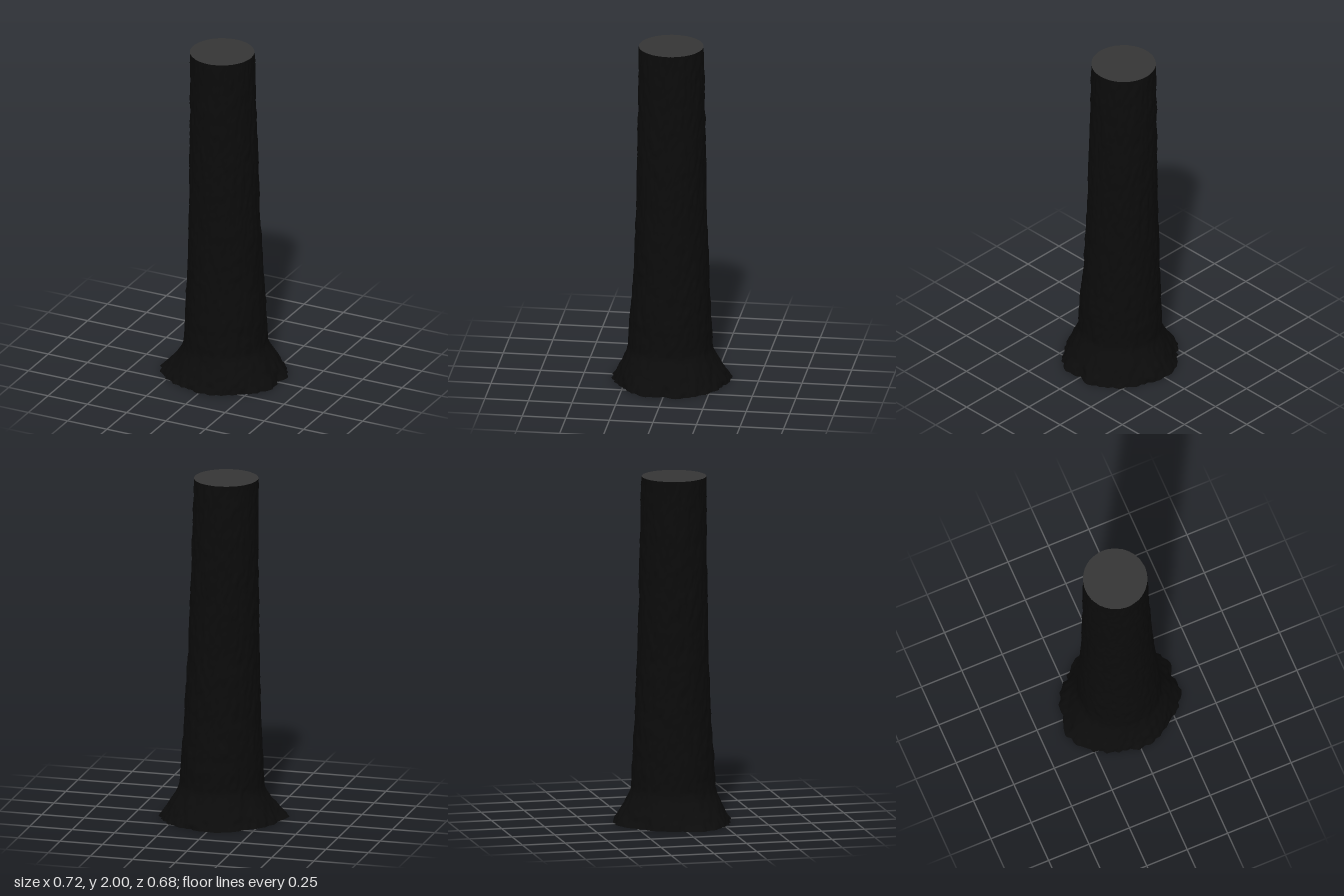
import * as THREE from 'three';

const SEG = 180, ROWS = 150;

// Trunk cross-sections: height, left/right x, back/front z
const SECTIONS = [
  [0, -0.255, 0.29, -0.275, 0.275],
  [0.12, -0.238, 0.268, -0.25, 0.258],
  [0.2, -0.23, 0.246, -0.234, 0.245],
  [0.4, -0.224, 0.235, -0.226, 0.232],
  [0.6, -0.215, 0.22, -0.216, 0.216],
  [1.0, -0.205, 0.197, -0.2, 0.2],
  [1.6, -0.2, 0.175, -0.19, 0.19],
  [2, -0.2, 0.166, -0.181, 0.187],
];

// Root flare radius on the ground, every 15 degrees from +x towards +z
const FLARE = [
  0.34, 0.352, 0.348, 0.333, 0.333, 0.333, 0.33, 0.32, 0.337, 0.35, 0.366, 0.37,
  0.335, 0.335, 0.332, 0.312, 0.325, 0.337, 0.345, 0.338, 0.335, 0.348, 0.354, 0.36,
];

const lerp = THREE.MathUtils.lerp;

function section(y) {
  let i = 0;
  while (i < SECTIONS.length - 2 && y > SECTIONS[i + 1][0]) i++;
  const a = SECTIONS[i], b = SECTIONS[i + 1];
  const t = (y - a[0]) / (b[0] - a[0]);
  return a.map((v, k) => lerp(v, b[k], t));
}

// Repeatable value noise that wraps around the trunk
function hash(i, j) {
  const s = Math.sin(i * 127.1 + j * 311.7) * 43758.5453;
  return s - Math.floor(s);
}

function noise(u, v, period) {
  const i = Math.floor(u), j = Math.floor(v);
  const s = THREE.MathUtils.smoothstep(u - i, 0, 1);
  const t = THREE.MathUtils.smoothstep(v - j, 0, 1);
  const h = (a, b) => hash(a % period, b);
  return lerp(lerp(h(i, j), h(i + 1, j), s), lerp(h(i, j + 1), h(i + 1, j + 1), s), t) - 0.5;
}

// Surface point: tapered ellipse blended into the flare, with bark ridges
function trunkPoint(f, y) {
  const angle = f * Math.PI * 2, c = Math.cos(angle), s = Math.sin(angle);
  const [, x0, x1, z0, z1] = section(y);
  const k = f * FLARE.length, i = Math.floor(k) % FLARE.length;
  const root = lerp(FLARE[i], FLARE[(i + 1) % FLARE.length], k - Math.floor(k));
  const w = Math.pow(Math.max(0, 1 - y / 0.19), 1.6);
  const fade = Math.min(1, (2 - y) / 0.05) * 0.8 + 0.2;
  const bark = (noise(f * 60, y * 16, 60) * 0.008 + noise(f * 90, y * 40, 90) * 0.004) * fade
    + noise(f * 90, y * 30 + 7, 90) * 0.02 * w;
  const x = lerp((x0 + x1) / 2 + c * (x1 - x0) / 2, c * root, w);
  const z = lerp((z0 + z1) / 2 + s * (z1 - z0) / 2, s * root, w);
  return [x + c * bark, y, z + s * bark];
}

function geometryFrom(positions, index) {
  const g = new THREE.BufferGeometry();
  g.setAttribute('position', new THREE.Float32BufferAttribute(positions, 3));
  g.setIndex(index);
  g.computeVertexNormals();
  return g;
}

function barkGeometry() {
  const positions = [], index = [];
  for (let r = 0; r <= ROWS; r++) {
    // rows gather near the flare
    const y = 2 * Math.pow(r / ROWS, 1.3);
    for (let i = 0; i < SEG; i++) positions.push(...trunkPoint(i / SEG, y));
  }
  for (let r = 0; r < ROWS; r++) {
    for (let i = 0; i < SEG; i++) {
      const a = r * SEG + i, b = r * SEG + (i + 1) % SEG;
      index.push(a, a + SEG, b, b, a + SEG, b + SEG);
    }
  }
  return geometryFrom(positions, index);
}

// Flat cut closing one end
function capGeometry(y, up) {
  const [, x0, x1, z0, z1] = section(y);
  const positions = [(x0 + x1) / 2, y, (z0 + z1) / 2], index = [];
  for (let i = 0; i < SEG; i++) {
    positions.push(...trunkPoint(i / SEG, y));
    const a = i + 1, b = (i + 1) % SEG + 1;
    index.push(0, up ? b : a, up ? a : b);
  }
  return geometryFrom(positions, index);
}

export function createModel() {
  const bark = new THREE.MeshStandardMaterial({ color: 0x0b0b0b });
  bark.name = 'dark bark';
  const wood = new THREE.MeshStandardMaterial({ color: 0x353535 });
  wood.name = 'cut wood';

  const group = new THREE.Group();
  group.name = 'treeTrunk';
  const add = (name, geometry, material) => {
    const mesh = new THREE.Mesh(geometry, material);
    mesh.name = name;
    group.add(mesh);
  };
  add('barkTrunk', barkGeometry(), bark);
  add('topCut', capGeometry(2, true), wood);
  add('bottomCut', capGeometry(0, false), wood);
  return group;
}
